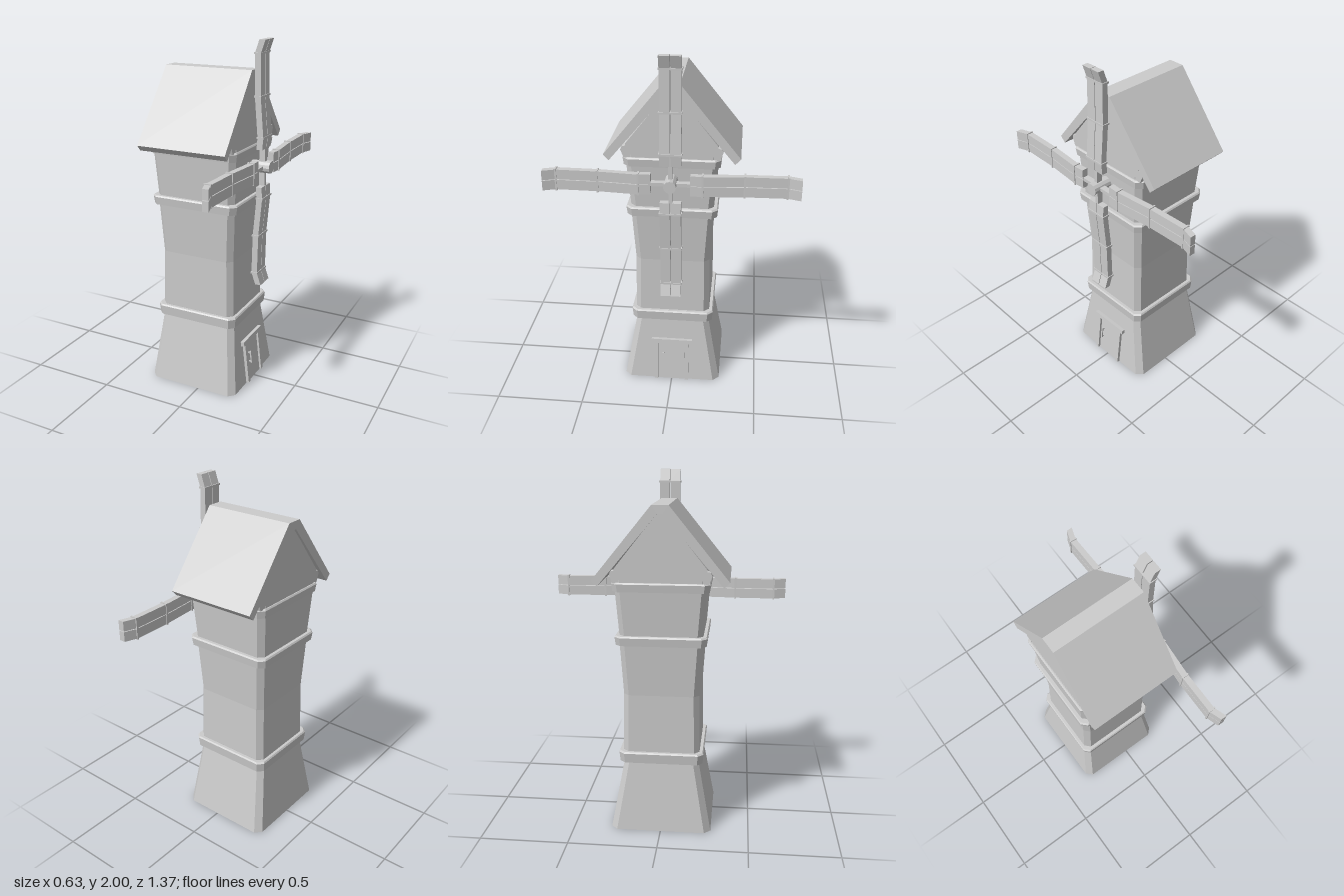
import * as THREE from 'three';

const CX = -0.045; // tower axis
const HUB_Y = 1.315;
const mat = new THREE.MeshStandardMaterial({ color: 0xcccccc, flatShading: true });
const openMat = new THREE.MeshStandardMaterial({ color: 0xcccccc, flatShading: true, side: THREE.DoubleSide });

function add(parent, name, geometry, x = 0, y = 0, z = 0, material = mat) {
  const mesh = new THREE.Mesh(geometry, material);
  mesh.name = name;
  mesh.position.set(x, y, z);
  parent.add(mesh);
  return mesh;
}

// Side walls through stacked rectangles with cut corners: [y, halfX, halfZ, cut]
function loft(sections) {
  const rings = sections.map(([y, a, b, c]) => [
    [a, y, -b + c], [a, y, b - c], [a - c, y, b], [-a + c, y, b],
    [-a, y, b - c], [-a, y, -b + c], [-a + c, y, -b], [a - c, y, -b]]);
  const pos = [];
  for (let s = 0; s < rings.length - 1; s++) {
    for (let i = 0; i < 8; i++) {
      const j = (i + 1) % 8, lo = rings[s], hi = rings[s + 1];
      pos.push(...lo[i], ...hi[i], ...lo[j], ...lo[j], ...hi[i], ...hi[j]);
    }
  }
  const g = new THREE.BufferGeometry();
  g.setAttribute('position', new THREE.Float32BufferAttribute(pos, 3));
  g.computeVertexNormals();
  return g;
}

// Extrudes a (z, y) outline along x, centred
function prismX(points, length) {
  const shape = new THREE.Shape(points.map(p => new THREE.Vector2(...p)));
  return new THREE.ExtrudeGeometry(shape, { depth: length, bevelEnabled: false })
    .translate(0, 0, -length / 2).rotateY(Math.PI / 2);
}

function makeSail() {
  const sail = new THREE.Group();
  sail.name = 'sail';
  // Bent board profile: [radius, centre depth]
  const bend = [[0.105, 0.267], [0.17, 0.272], [0.39, 0.253], [0.615, 0.249], [0.685, 0.273]];
  const outline = [...bend.map(([r, d]) => new THREE.Vector2(d + 0.017, r)),
    ...bend.slice().reverse().map(([r, d]) => new THREE.Vector2(d - 0.017, r))];
  const board = new THREE.ExtrudeGeometry(new THREE.Shape(outline), { depth: 0.055, bevelEnabled: false });
  for (const s of [-1, 1]) add(sail, 'sailBoard', board, 0, 0, s * 0.0295 - 0.0275);
  // Straps around the boards
  for (const [r, d] of bend.slice(1, 4)) {
    add(sail, 'sailStrap', new THREE.BoxGeometry(0.042, 0.01, 0.124), d, r, 0);
  }
  add(sail, 'sailArm', new THREE.BoxGeometry(0.034, 0.15, 0.02), 0.264, 0.085, 0);
  return sail;
}

export function createModel() {
  const model = new THREE.Group();
  model.name = 'windmill';

  // Hollow tower, open at the bottom
  add(model, 'tower', loft([
    [0, 0.275, 0.285, 0.035], [0.41, 0.229, 0.21, 0.03], [0.47, 0.228, 0.215, 0.03],
    [0.8, 0.222, 0.21, 0.03], [1.09, 0.237, 0.228, 0.03], [1.14, 0.238, 0.228, 0.03],
    [1.4, 0.253, 0.248, 0.03], [1.45, 0.253, 0.248, 0.03]]), CX, 0, 0, openMat);

  // Trim bands: [bottom, top, halfX, halfZ]
  for (const [y0, y1, a, b] of [[0.405, 0.468, 0.25, 0.238], [1.09, 1.142, 0.261, 0.252], [1.385, 1.435, 0.264, 0.264]]) {
    add(model, 'trimBand', loft([
      [y0, a - 0.045, b - 0.045, 0.02], [y0, a - 0.005, b - 0.005, 0.03],
      [y1 - 0.008, a, b, 0.03], [y1, a - 0.006, b - 0.006, 0.03],
      [y1, a - 0.045, b - 0.045, 0.02]]), CX, 0, 0);
  }

  // Gable walls and roof
  add(model, 'gable', prismX([[-0.245, 1.43], [0.245, 1.43], [0.245, 1.51], [0.015, 1.8], [-0.015, 1.8], [-0.245, 1.51]], 0.5), CX);
  add(model, 'roof', prismX([[-0.365, 1.447], [-0.335, 1.415], [-0.015, 1.795], [0.015, 1.795],
    [0.335, 1.415], [0.365, 1.447], [0.045, 1.84], [-0.045, 1.84]], 0.523), -0.0485);
  for (const sx of [-1, 1]) for (const sz of [-1, 1]) {
    const bracket = prismX([[0.235, 1.43], [0.255, 1.43], [0.272, 1.475], [0.265, 1.495], [0.235, 1.5]], 0.05);
    if (sz < 0) bracket.rotateY(Math.PI);
    add(model, 'eaveBracket', bracket, CX + sx * 0.225);
  }

  // Door, leaning with the battered wall
  const door = new THREE.Group();
  door.name = 'door';
  door.position.set(0.23, 0, 0);
  door.rotation.z = Math.atan(0.046 / 0.41);
  add(door, 'doorPanel', new THREE.BoxGeometry(0.01, 0.25, 0.15), 0.002, 0.127, 0);
  for (const s of [-1, 1]) add(door, 'doorPost', new THREE.BoxGeometry(0.026, 0.25, 0.022), 0.004, 0.127, s * 0.09);
  add(door, 'doorLintel', new THREE.BoxGeometry(0.034, 0.026, 0.242), 0.004, 0.262, 0);
  add(door, 'doorHandle', new THREE.BoxGeometry(0.008, 0.075, 0.008), 0.022, 0.148, 0.05);
  for (const y of [0.12, 0.176]) add(door, 'handleMount', new THREE.BoxGeometry(0.02, 0.008, 0.008), 0.014, y, 0.05);
  model.add(door);

  // Rotor: axle and four sails
  const rotor = new THREE.Group();
  rotor.name = 'rotor';
  rotor.position.y = HUB_Y;
  add(rotor, 'axle', new THREE.CylinderGeometry(0.034, 0.034, 0.13, 12).rotateZ(Math.PI / 2), 0.25);
  for (let i = 0; i < 4; i++) {
    const sail = makeSail();
    sail.rotation.x = i * Math.PI / 2;
    rotor.add(sail);
  }
  model.add(rotor);
  return model;
}
